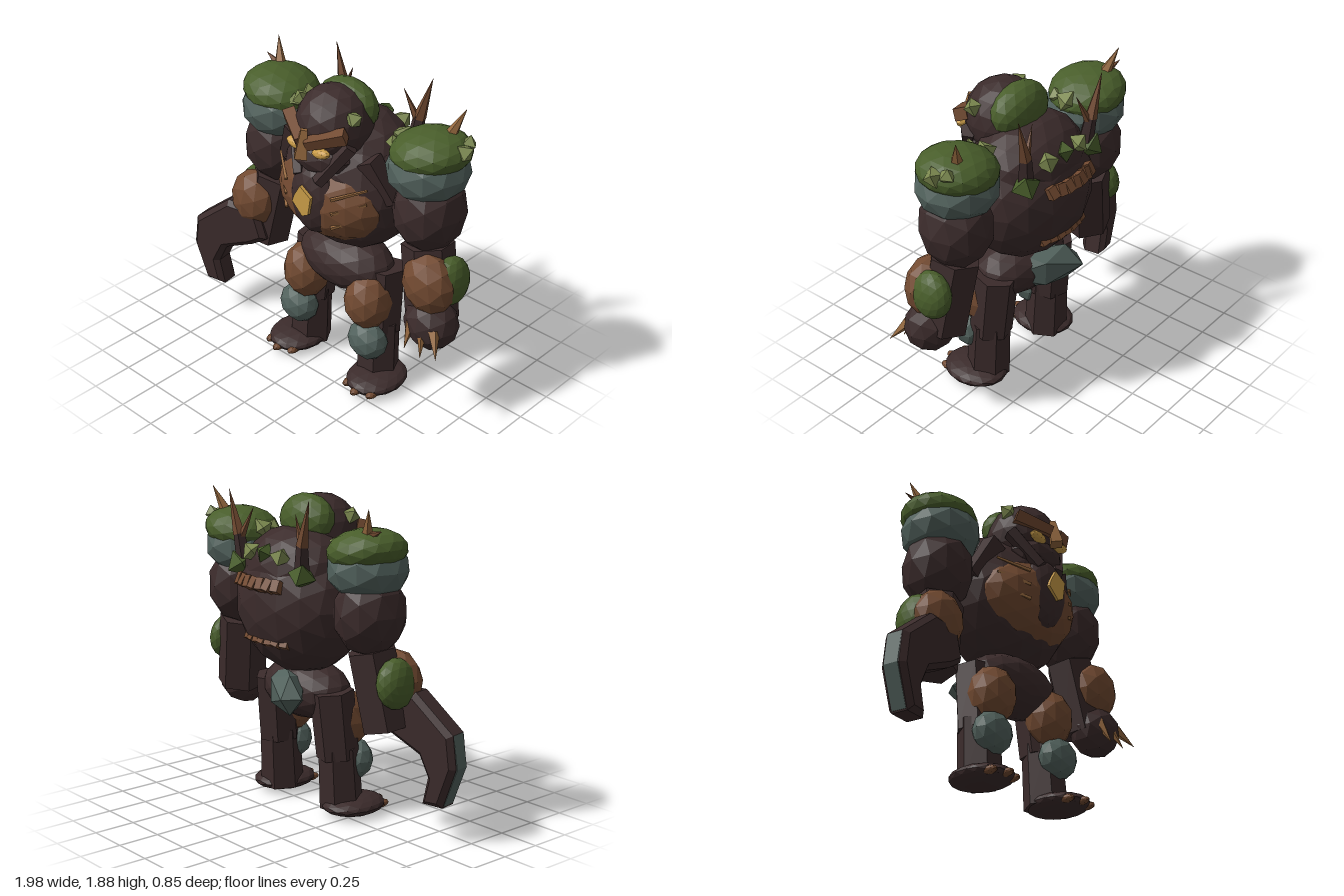
import * as THREE from 'three';

const mat = (name, color) => {
  const m = new THREE.MeshStandardMaterial({ color, flatShading: true });
  m.name = name;
  return m;
};

export function createModel() {
  const bark = mat('dark bark', 0x3b2b2b);
  const wood = mat('brown wood', 0x724a31);
  const tan = mat('tan wood', 0x96693f);
  const stone = mat('grey green stone', 0x52625d);
  const moss = mat('moss', 0x495e2b);
  const leaf = mat('pale leaf', 0x7d8a50);
  const gold = mat('gold', 0xc99c48);

  const model = new THREE.Group();
  model.name = 'forestGolem';
  // the body is symmetric about a line a little left of the centre
  const body = new THREE.Group();
  body.name = 'body';
  body.position.x = 0.12;
  model.add(body);

  const add = (name, geo, m) => {
    const mesh = new THREE.Mesh(geo, m);
    mesh.name = name;
    body.add(mesh);
    return mesh;
  };
  // faceted ellipsoid
  const blob = (name, m, c, r, detail = 1, tilt = 0) => {
    const mesh = add(name, new THREE.IcosahedronGeometry(1, detail), m);
    mesh.position.set(...c);
    mesh.scale.set(...r);
    mesh.rotation.z = tilt;
    return mesh;
  };
  // pointed tuft
  const tuft = (name, m, c, r, turn) => {
    const mesh = add(name, new THREE.OctahedronGeometry(r), m);
    mesh.position.set(...c);
    mesh.rotation.set(0.4, turn, turn * 0.7);
  };
  // straight prism or cone between two points
  const up = new THREE.Vector3(0, 1, 0);
  const limb = (name, m, a, b, r1, r2, sides = 6) => {
    const A = new THREE.Vector3(...a), B = new THREE.Vector3(...b);
    const d = B.clone().sub(A);
    const mesh = add(name, new THREE.CylinderGeometry(r2, r1, d.length(), sides), m);
    mesh.position.copy(A).add(B).multiplyScalar(0.5);
    mesh.quaternion.setFromUnitVectors(up, d.normalize());
    return mesh;
  };
  const spike = (name, m, a, b, r) => limb(name, m, a, b, r, 0.001, 5);
  const plate = (name, m, pts, z, depth, bevel = 0) => {
    const shape = new THREE.Shape(pts.map(([x, y]) => new THREE.Vector2(x, y)));
    const geo = new THREE.ExtrudeGeometry(shape, {
      depth, bevelEnabled: bevel > 0, bevelSize: bevel, bevelOffset: -bevel,
      bevelThickness: bevel, bevelSegments: 1,
    });
    geo.translate(0, 0, z);
    return add(name, geo, m);
  };

  // trunk
  blob('torso', bark, [0, 1.25, -0.04], [0.435, 0.42, 0.345], 2);
  blob('upperBack', bark, [0, 1.44, -0.06], [0.36, 0.26, 0.285], 2);
  blob('pelvis', bark, [0, 0.725, 0], [0.33, 0.18, 0.2], 2);
  blob('belly', wood, [0, 1.215, 0.11], [0.37, 0.27, 0.245], 2);
  blob('breastbone', bark, [0, 1.24, 0.27], [0.16, 0.22, 0.1], 2);
  plate('chestGem', gold, [[-0.07, 1.235], [-0.055, 1.275], [-0.01, 1.35], [0.07, 1.3],
    [0.05, 1.19], [0.005, 1.165]], 0.36, 0.02);
  blob('tailStone', stone, [0, 0.735, -0.15], [0.28, 0.14, 0.115], 0).rotation.y = -0.6;

  // head and face
  blob('head', bark, [0, 1.64, 0.11], [0.22, 0.23, 0.225], 2);
  blob('jaw', bark, [0, 1.49, 0.2], [0.19, 0.11, 0.15]);
  blob('headMoss', moss, [0, 1.72, 0.005], [0.205, 0.155, 0.125], 2);
  limb('nose', tan, [0, 1.53, 0.38], [0, 1.69, 0.35], 0.05, 0.025, 4);

  // ridged planks on the back
  for (const [y, z] of [[1.39, -0.375], [1.06, -0.31]]) {
    for (let i = 0; i < 7; i++) {
      const x = (i - 3) * 0.052;
      const p = add('backPlank', new THREE.BoxGeometry(0.05, 0.07, 0.07), wood);
      p.position.set(x, y, z + x * x * 1.1);
      p.rotation.set(0.5, -x * 2, 0.12 * (i % 2 ? 1 : -1));
    }
  }
  tuft('backMoss', moss, [0, 1.56, -0.31], 0.06, 0.3);

  for (const s of [-1, 1]) {
    // face and neck pieces
    limb('brow', wood, [s * 0.02, 1.615, 0.36], [s * 0.21, 1.685, 0.25], 0.04, 0.05, 4);
    blob('eye', gold, [s * 0.095, 1.565, 0.32], [0.064, 0.03, 0.032], 1, s * 0.2);
    limb('jawTusk', bark, [s * 0.2, 1.6, 0.2], [s * 0.07, 1.38, 0.32], 0.05, 0.04, 5);
    tuft('templeLeaf', leaf, [s * 0.195, 1.75, 0.17], 0.055, s * 0.5);
    limb('collarPlate', bark, [s * 0.27, 1.52, 0.13], [s * 0.4, 1.28, 0.07], 0.075, 0.055, 4);

    // ribs
    for (let i = 0; i < 3; i++) {
      const y = 1.36 - i * 0.09;
      limb('rib', tan, [s * 0.17, y - 0.05, 0.325], [s * (0.33 - i * 0.005), y + 0.02, 0.205], 0.012, 0.008, 4);
    }

    // antler-like horns on the back
    limb('hornStem', bark, [s * 0.26, 1.45, -0.25], [s * 0.285, 1.64, -0.27], 0.05, 0.035, 5);
    spike('horn', wood, [s * 0.285, 1.63, -0.27], [s * 0.357, 1.885, -0.285], 0.038);
    spike('hornBranch', wood, [s * 0.275, 1.61, -0.265], [s * 0.19, 1.79, -0.24], 0.026);

    // moss growing on the back
    tuft('backLeaf', leaf, [s * 0.13, 1.55, -0.3], 0.065, s * 0.8);
    tuft('backMoss', moss, [s * 0.28, 1.46, -0.27], 0.085, s);

    // shoulder and upper arm
    blob('upperArm', bark, [s * 0.575, 1.27, -0.03], [0.205, 0.25, 0.215], 1);
    blob('shoulderStone', stone, [s * 0.555, 1.515, -0.03], [0.235, 0.185, 0.235], 1);
    blob('shoulderMoss', moss, [s * 0.56, 1.615, -0.04], [0.23, 0.13, 0.225], 2, s * 0.13);
    spike('shoulderSpike', tan, [s * 0.63, 1.7, -0.1], [s * 0.695, 1.865, -0.155], 0.04);
    tuft('shoulderLeaf', leaf, [s * 0.355, 1.63, -0.05], 0.07, s);
    tuft('shoulderLeaf', leaf, [s * 0.37, 1.63, 0.04], 0.05, s * 2);

    // forearm
    limb('forearm', bark, [s * 0.58, 1.06, -0.02], [s * 0.665, 0.62, 0.02], 0.15, 0.15, 6);
    blob('forearmWood', wood, [s * 0.68, 0.885, 0.08], [0.165, 0.185, 0.13], 1, s * 0.15);
    blob('forearmMoss', moss, [s * 0.765, 0.9, -0.005], [0.085, 0.145, 0.13], 2, s * 0.1);

    // leg
    limb('thigh', bark, [s * 0.255, 0.76, -0.03], [s * 0.27, 0.36, 0.005], 0.13, 0.125, 6);
    limb('shin', bark, [s * 0.27, 0.42, 0.01], [s * 0.275, 0.05, 0.03], 0.12, 0.13, 6);
    blob('thighWood', wood, [s * 0.245, 0.57, 0.09], [0.145, 0.18, 0.14]);
    blob('kneeStone', stone, [s * 0.278, 0.33, 0.125], [0.13, 0.125, 0.1]);
    blob('foot', bark, [s * 0.32, 0.065, 0.085], [0.168, 0.06, 0.2], 2);
    for (const t of [-0.09, 0, 0.09])
      blob('toe', wood, [s * 0.32 + t, 0.055, 0.26 - Math.abs(t) * 0.4], [0.03, 0.024, 0.055]);
  }

  // uneven growth on the two shoulders
  spike('shoulderThorn', wood, [-0.64, 1.71, -0.1], [-0.76, 1.75, -0.12], 0.03);
  tuft('shoulderLeaf', leaf, [0.765, 1.67, -0.06], 0.06, 0.6);
  tuft('shoulderLeaf', leaf, [0.74, 1.69, -0.13], 0.05, 1.4);

  // clawed left hand
  blob('hand', bark, [0.7, 0.63, 0.07], [0.165, 0.16, 0.145], 1);
  for (const [x, tip, y] of [[0.63, 0.645, 0.51], [0.71, 0.76, 0.5], [0.79, 0.87, 0.54]])
    spike('handClaw', tan, [x, 0.65, 0.16], [tip, y, 0.235], 0.036);

  // hooked branch in place of the right hand
  const hook = [[-0.84, 0.85], [-1.09, 0.65], [-1.115, 0.46], [-1.03, 0.22], [-0.895, 0.22],
    [-0.93, 0.38], [-0.87, 0.5], [-0.67, 0.59], [-0.56, 0.66], [-0.62, 0.85]];
  plate('hookArm', bark, hook, -0.065, 0.1, 0.03).rotation.y = 0.17;
  plate('hookEdge', stone, [[-1.09, 0.65], [-1.12, 0.46], [-1.035, 0.23], [-1.025, 0.23],
    [-1.105, 0.46], [-1.08, 0.65]], -0.06, 0.09).rotation.y = 0.17;

  return model;
}
